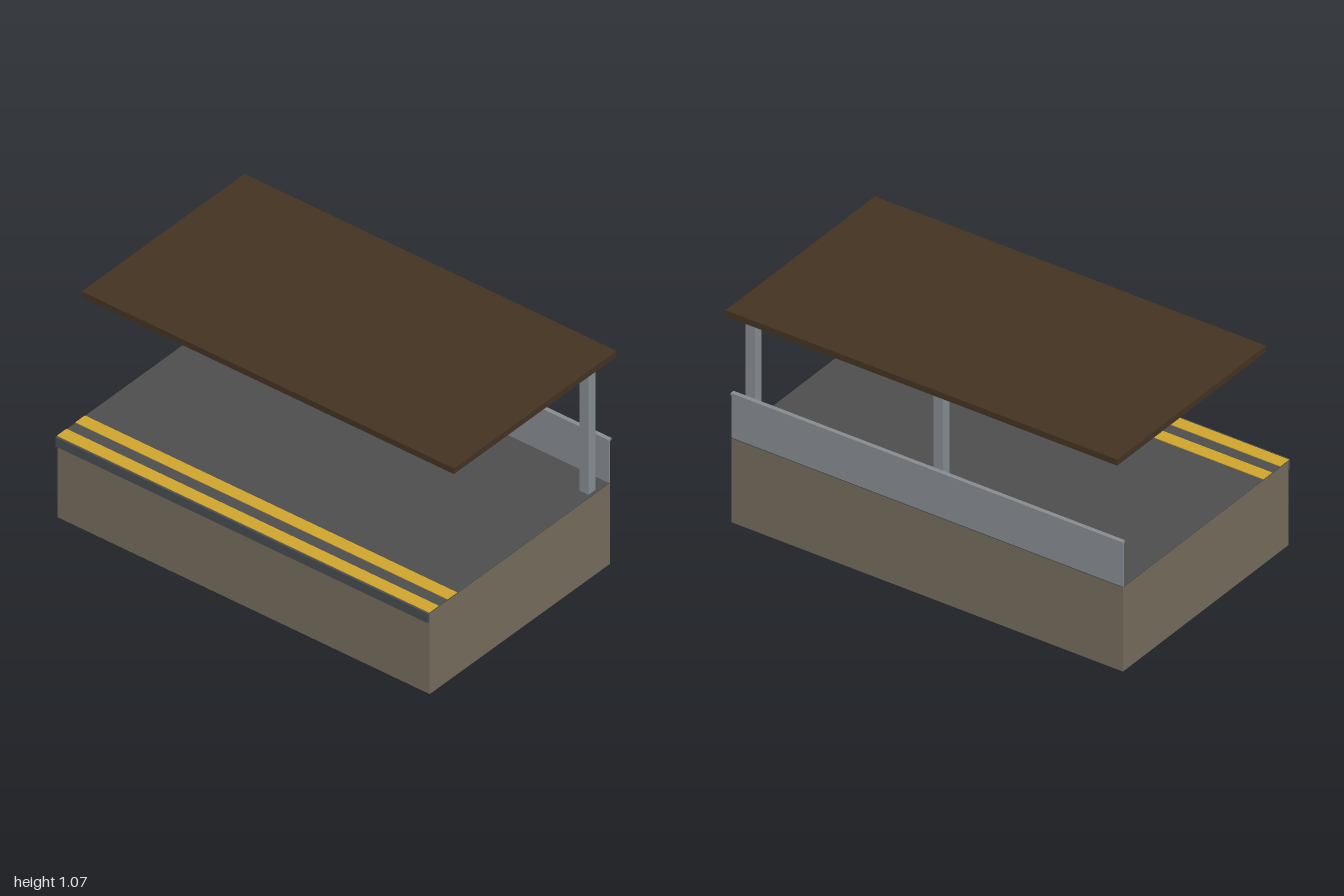
import * as THREE from 'three';

const mat = (name, color) => {
  const m = new THREE.MeshStandardMaterial({ color });
  m.name = name;
  return m;
};

export function createModel() {
  const group = new THREE.Group();
  group.name = 'stationPlatform';

  const concrete = mat('brown concrete', 0x746c5c);
  const paving = mat('dark grey paving', 0x4e4e4e);
  const edging = mat('slate edging', 0x484c50);
  const yellow = mat('safety yellow', 0xcfa52c);
  const steel = mat('grey steel', 0x868c91);
  const beamSteel = mat('light steel', 0xc4c4c6);
  const roofing = mat('dark brown roofing', 0x433322);

  // Box given by its extents on each axis
  const box = (name, material, [x0, x1], [y0, y1], [z0, z1] = [-1, 1]) => {
    const mesh = new THREE.Mesh(new THREE.BoxGeometry(x1 - x0, y1 - y0, z1 - z0), material);
    mesh.position.set((x0 + x1) / 2, (y0 + y1) / 2, (z0 + z1) / 2);
    mesh.name = name;
    group.add(mesh);
  };

  // Platform body, paved top and overhanging edge
  box('platformBase', concrete, [-0.613, 0.583], [0, 0.416]);
  box('paving', paving, [-0.613, 0.583], [0.416, 0.42]);
  box('platformEdge', edging, [-0.627, -0.613], [0.373, 0.42]);

  // Two safety stripes along the edge
  for (const x of [-0.617, -0.495]) box('safetyStripe', yellow, [x, x + 0.063], [0.419, 0.423]);

  // Rear wall with handrail
  box('backWall', steel, [0.575, 0.583], [0.42, 0.634]);
  box('handrail', steel, [0.569, 0.59], [0.633, 0.645]);

  // Posts
  for (const z of [0.962, 0]) box('post', steel, [0.455, 0.503], [0.42, 1.043], [z - 0.024, z + 0.024]);

  // Canopy beams and flat roof
  for (const x of [-0.412, 0.468]) box('canopyBeam', beamSteel, [x, x + 0.047], [1.027, 1.044], [-0.938, 0.938]);
  box('canopyRoof', roofing, [-0.453, 0.625], [1.043, 1.073]);

  return group;
}
